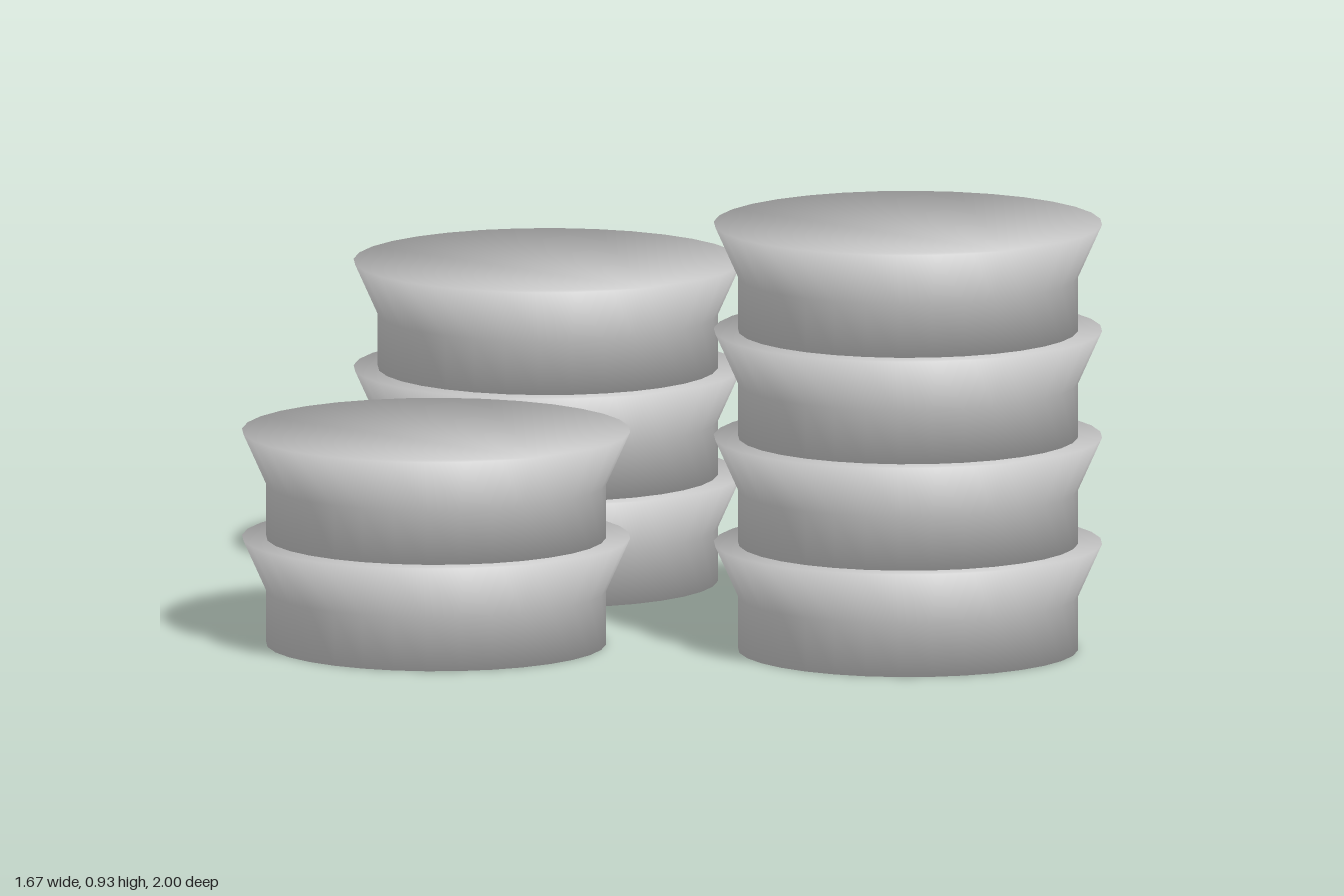
import * as THREE from 'three';

const SIDES = 32;
const HEIGHT = 0.232;
const KNEE = 0.117;
const BASE_R = 0.366;
const RIM_R = 0.418;

// Closed cup: straight lower wall, flared rim, flat caps, shaded smoothly across every edge
function cupGeometry() {
  const profile = [[BASE_R, 0], [BASE_R, KNEE], [RIM_R, HEIGHT]].map(p => new THREE.Vector2(...p));
  // unit normals of bottom cap, lower wall, flare and top cap
  const faces = [
    new THREE.Vector2(0, -1),
    new THREE.Vector2(1, 0),
    new THREE.Vector2(HEIGHT - KNEE, BASE_R - RIM_R).normalize(),
    new THREE.Vector2(0, 1),
  ];
  const positions = [], normals = [], index = [];
  profile.forEach((p, ring) => {
    const n = faces[ring].clone().add(faces[ring + 1]).normalize();
    for (let i = 0; i < SIDES; i++) {
      const a = (i / SIDES) * Math.PI * 2;
      positions.push(p.x * Math.sin(a), p.y, p.x * Math.cos(a));
      normals.push(n.x * Math.sin(a), n.y, n.x * Math.cos(a));
    }
  });
  // walls
  for (let ring = 0; ring < profile.length - 1; ring++) {
    for (let i = 0; i < SIDES; i++) {
      const j = (i + 1) % SIDES, lo = ring * SIDES, hi = lo + SIDES;
      index.push(lo + i, lo + j, hi + i, hi + j, hi + i, lo + j);
    }
  }
  // flat caps, spanned from rim to rim
  const top = (profile.length - 1) * SIDES;
  for (let i = 1; i < SIDES - 1; i++) {
    index.push(0, i + 1, i);
    index.push(top, top + i, top + i + 1);
  }
  const geometry = new THREE.BufferGeometry();
  geometry.setAttribute('position', new THREE.Float32BufferAttribute(positions, 3));
  geometry.setAttribute('normal', new THREE.Float32BufferAttribute(normals, 3));
  geometry.setIndex(index);
  return geometry;
}

export function createModel() {
  const model = new THREE.Group();
  model.name = 'stackedCups';
  const geometry = cupGeometry();
  const material = new THREE.MeshStandardMaterial({ color: 0xcccccc });

  // Three stacks of different heights
  const stacks = [
    { name: 'frontStack', x: 0.417, z: 0.582, count: 4 },
    { name: 'rightStack', x: -0.417, z: 0, count: 2 },
    { name: 'backStack', x: 0.207, z: -0.582, count: 3 },
  ];
  for (const { name, x, z, count } of stacks) {
    const stack = new THREE.Group();
    stack.name = name;
    stack.position.set(x, 0, z);
    for (let i = 0; i < count; i++) {
      const cup = new THREE.Mesh(geometry, material);
      cup.name = `cup${i + 1}`;
      cup.position.y = i * HEIGHT;
      stack.add(cup);
    }
    model.add(stack);
  }
  return model;
}
